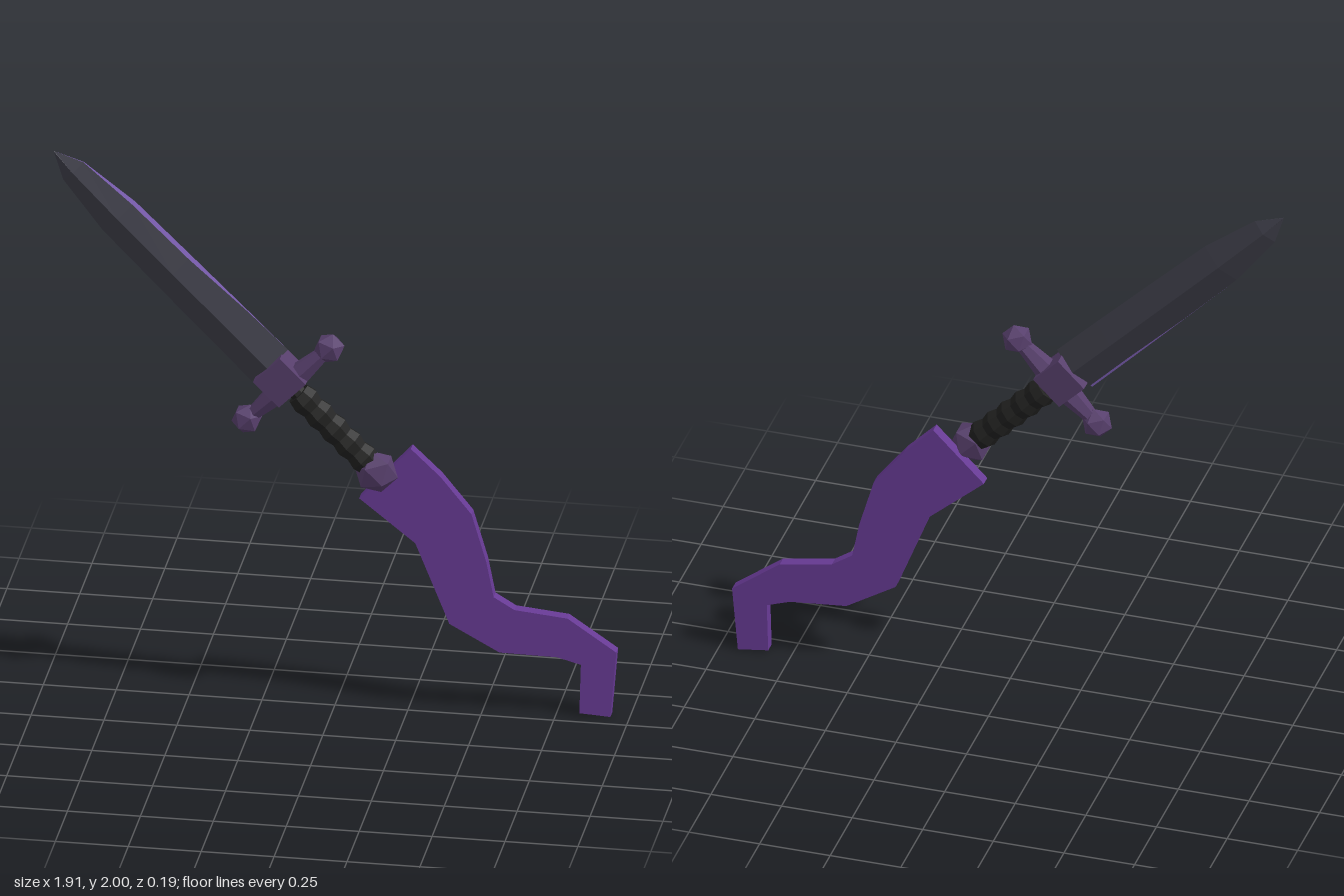
import * as THREE from 'three';

const mat = (name, color) => Object.assign(new THREE.MeshStandardMaterial({ color }), { name });

function flat(geometry) {
  const g = geometry.index ? geometry.toNonIndexed() : geometry;
  g.computeVertexNormals();
  return g;
}

function add(parent, name, geometry, material, x = 0, y = 0, z = 0) {
  const mesh = new THREE.Mesh(flat(geometry), material);
  mesh.name = name;
  mesh.position.set(x, y, z);
  parent.add(mesh);
  return mesh;
}

// Blade stations: height, half width, half thickness, front and back edge bevel
const STATIONS = [
  [0.088, 0.088, 0.036, 0, 0.008],
  [0.28, 0.087, 0.036, 0.003, 0.008],
  [0.55, 0.084, 0.035, 0.014, 0.001],
  [0.82, 0.08, 0.033, 0.014, 0],
  [1.04, 0.05, 0.022, 0.002, 0],
  [1.135, 0.001, 0.002, 0, 0],
];

// Diamond section whose two opposite corners carry a narrow bevel
function section([y, w, t, front, back]) {
  return [
    [w, y, 0], [w - front, y, t * front / w], [0, y, t],
    [-w, y, 0], [-(w - back), y, -t * back / w], [0, y, -t],
  ];
}

// Skin the chosen sides of the section along the blade
function bladeSides(sides, capped) {
  const rings = STATIONS.map(section);
  const pos = [];
  const tri = (...pts) => pts.forEach((p) => pos.push(...p));
  for (let k = 0; k < rings.length - 1; k++) {
    for (const i of sides) {
      const j = (i + 1) % 6;
      tri(rings[k][i], rings[k + 1][i], rings[k][j]);
      tri(rings[k][j], rings[k + 1][i], rings[k + 1][j]);
    }
  }
  if (capped) {
    for (let i = 0; i < 6; i++) tri([0, STATIONS[0][0], 0], rings[0][i], rings[0][(i + 1) % 6]);
  }
  const g = new THREE.BufferGeometry();
  g.setAttribute('position', new THREE.Float32BufferAttribute(pos, 3));
  return g;
}

export function createModel() {
  const steel = mat('dark steel', 0x3d3d48);
  const edge = mat('lilac edge', 0x8565c0);
  const metal = mat('plum metal', 0x573f6c);
  const leather = mat('black leather', 0x20201f);
  const cloth = mat('purple cloth', 0x673a94);

  const model = new THREE.Group();
  model.name = 'daggerWithRibbon';

  // Dagger is built upright around its guard, then tilted
  const dagger = new THREE.Group();
  dagger.name = 'dagger';
  dagger.position.set(-0.155, 1.2, 0.034);
  dagger.rotation.z = Math.PI / 4;
  model.add(dagger);

  add(dagger, 'blade', bladeSides([1, 2, 4, 5], true), steel);
  add(dagger, 'bladeEdges', bladeSides([0, 3], false), edge);

  // Guard: block, two tapering arms, faceted end knobs
  add(dagger, 'guardBlock', new THREE.BoxGeometry(0.13, 0.125, 0.105), metal, 0, 0.03, 0);
  for (const s of [-1, 1]) {
    const arm = add(dagger, 'guardArm', new THREE.CylinderGeometry(0.024, 0.042, 0.13, 6), metal, s * 0.115, 0, 0);
    arm.rotation.z = -s * Math.PI / 2;
    const knob = add(dagger, 'guardKnob', new THREE.IcosahedronGeometry(0.054, 0), metal, s * 0.2, 0, 0);
    knob.rotation.z = -s * Math.PI / 2;
  }

  // Grip with wrapped bulges
  const profile = [new THREE.Vector2(0.001, -0.4)];
  const bulges = 5;
  for (let i = 0; i <= bulges * 2; i++) {
    profile.push(new THREE.Vector2(i % 2 ? 0.053 : 0.044, -0.4 + 0.35 * i / (bulges * 2)));
  }
  profile.push(new THREE.Vector2(0.001, -0.05));
  add(dagger, 'grip', new THREE.LatheGeometry(profile, 8), leather);
  add(dagger, 'gripCore', new THREE.CylinderGeometry(0.03, 0.03, 0.06, 8), leather, 0, -0.045, 0);

  // Pommel
  const pommel = add(dagger, 'pommel', new THREE.IcosahedronGeometry(0.077, 0), metal, 0, -0.428, 0.006);
  pommel.scale.z = 0.85;

  // Ribbon: extruded outline that drifts backward as it trails away
  const outline = [
    [0.085, 0.78], [0.275, 0.62], [0.39, 0.325], [0.56, 0.225], [0.755, 0.215],
    [0.835, 0.19], [0.83, 0.01], [0.935, 0], [0.955, 0.24], [0.79, 0.36],
    [0.61, 0.385], [0.54, 0.43], [0.515, 0.56], [0.465, 0.735], [0.36, 0.87], [0.26, 0.97],
  ];
  const ribbon = new THREE.ExtrudeGeometry(
    new THREE.Shape(outline.map(([x, y]) => new THREE.Vector2(x, y))),
    { depth: 0.04, bevelEnabled: false },
  );
  const p = ribbon.attributes.position;
  for (let i = 0; i < p.count; i++) {
    p.setZ(i, p.getZ(i) - 0.03 - 0.08 * (p.getX(i) - 0.1));
  }
  add(model, 'ribbon', ribbon, cloth);

  return model;
}
